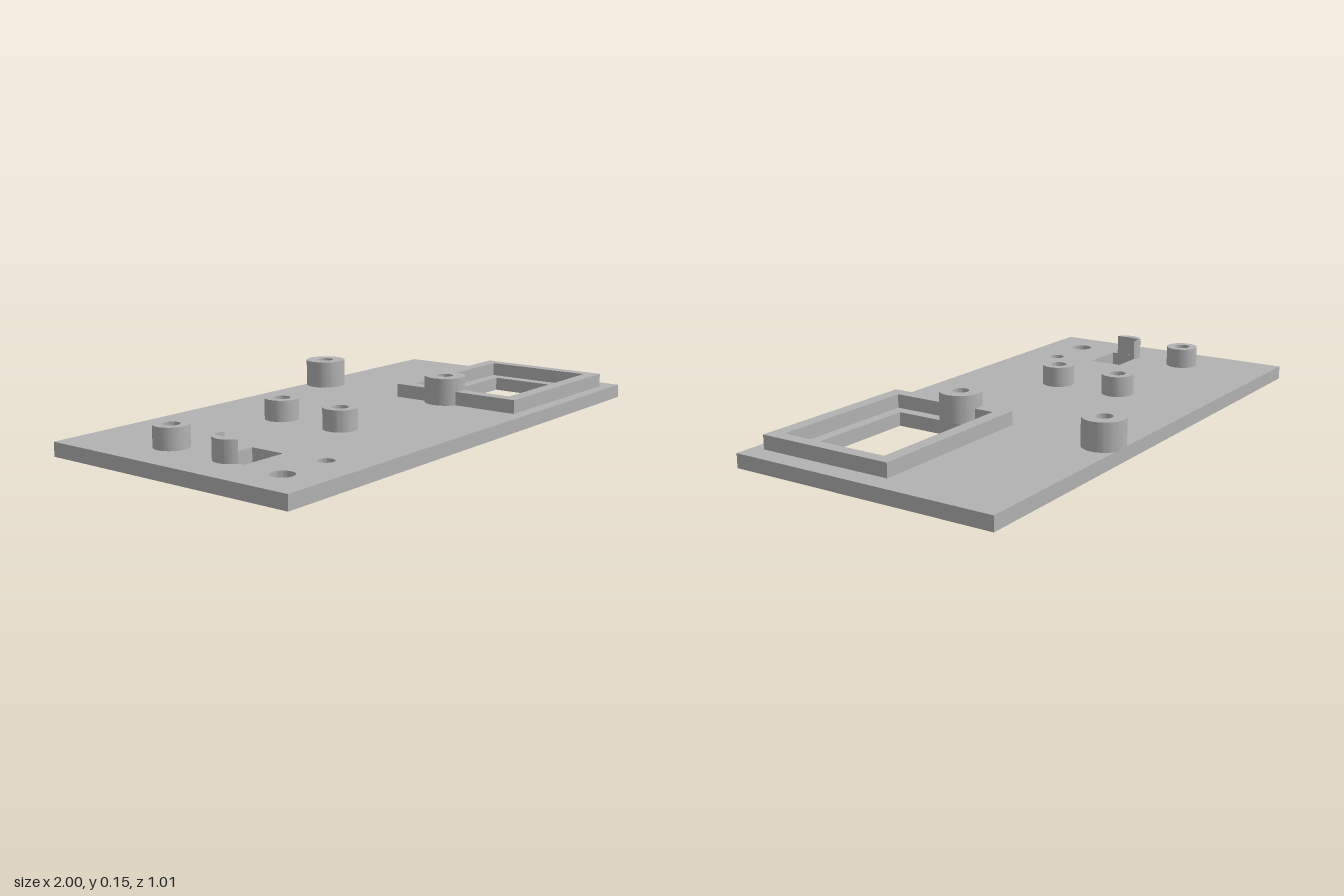
import * as THREE from 'three';
import { toCreasedNormals } from 'three/addons/utils/BufferGeometryUtils.js';

const PLATE_TOP = 0.05;

// Plan outlines use (x, -z), so they lie flat once extruded and turned upright.
function rect(x0, x1, z0, z1, Type = THREE.Path) {
  const p = new Type();
  p.moveTo(x0, -z1);
  p.lineTo(x1, -z1);
  p.lineTo(x1, -z0);
  p.lineTo(x0, -z0);
  p.closePath();
  return p;
}

function circle(x, z, r, Type = THREE.Path) {
  const p = new Type();
  p.absarc(x, -z, r, 0, Math.PI * 2, false);
  return p;
}

export function createModel() {
  const group = new THREE.Group();
  const grey = new THREE.MeshStandardMaterial({ color: 0xb2b2b2 });
  grey.name = 'plainGrey';

  function slab(name, shape, y0, y1) {
    let geo = new THREE.ExtrudeGeometry(shape, { depth: y1 - y0, bevelEnabled: false, curveSegments: 32 });
    geo.rotateX(-Math.PI / 2);
    geo.translate(0, y0, 0);
    geo = toCreasedNormals(geo, Math.PI / 6);
    const mesh = new THREE.Mesh(geo, grey);
    mesh.name = name;
    group.add(mesh);
  }

  // Panel with display window, connector slot and two round holes
  const panel = rect(-1, 1, -0.494, 0.505, THREE.Shape);
  panel.holes.push(
    rect(0.357, 0.833, 0.039, 0.37),
    rect(-0.842, -0.666, 0.063, 0.193),
    circle(-0.852, 0.354, 0.04),
    circle(-0.652, 0.354, 0.028),
  );
  slab('panel', panel, 0, PLATE_TOP);

  // Raised frame around the display window
  const frame = rect(0.267, 0.925, -0.052, 0.46, THREE.Shape);
  frame.holes.push(rect(0.315, 0.88, -0.004, 0.411));
  slab('displayFrame', frame, PLATE_TOP, 0.1);

  // Hollow mounting posts
  function post(name, x, z, r, top) {
    const ring = circle(x, z, r, THREE.Shape);
    ring.holes.push(circle(x, z, 0.03));
    slab(name, ring, PLATE_TOP, top);
  }
  post('tallPostBack', 0.297, -0.43, 0.075, 0.15);
  post('tallPostFront', 0.297, 0.144, 0.075, 0.15);
  post('shortPostBackRight', -0.815, -0.144, 0.06, 0.125);
  post('shortPostBackLeft', -0.29, -0.144, 0.06, 0.125);
  post('shortPostFrontLeft', -0.29, 0.117, 0.06, 0.125);

  // Remainder of the fourth short post, cut away by the connector slot
  const cx = -0.815, cz = 0.117, r = 0.06, cutX = -0.842 - cx, cutZ = 0.063 - cz;
  const start = Math.atan2(-cutZ, Math.sqrt(r * r - cutZ * cutZ));
  const end = 2 * Math.PI - Math.acos(cutX / r);
  const bore = Math.sqrt(0.03 ** 2 - cutX ** 2);
  const cut = new THREE.Shape();
  cut.absarc(cx, -cz, r, start, end, false);
  cut.lineTo(cx + cutX, -cz - bore);
  cut.lineTo(cx - 0.03, -cz);
  cut.lineTo(cx + cutX, -cz + bore);
  cut.lineTo(cx + cutX, -cz - cutZ);
  cut.closePath();
  slab('cutShortPost', cut, PLATE_TOP, 0.125);

  return group;
}
